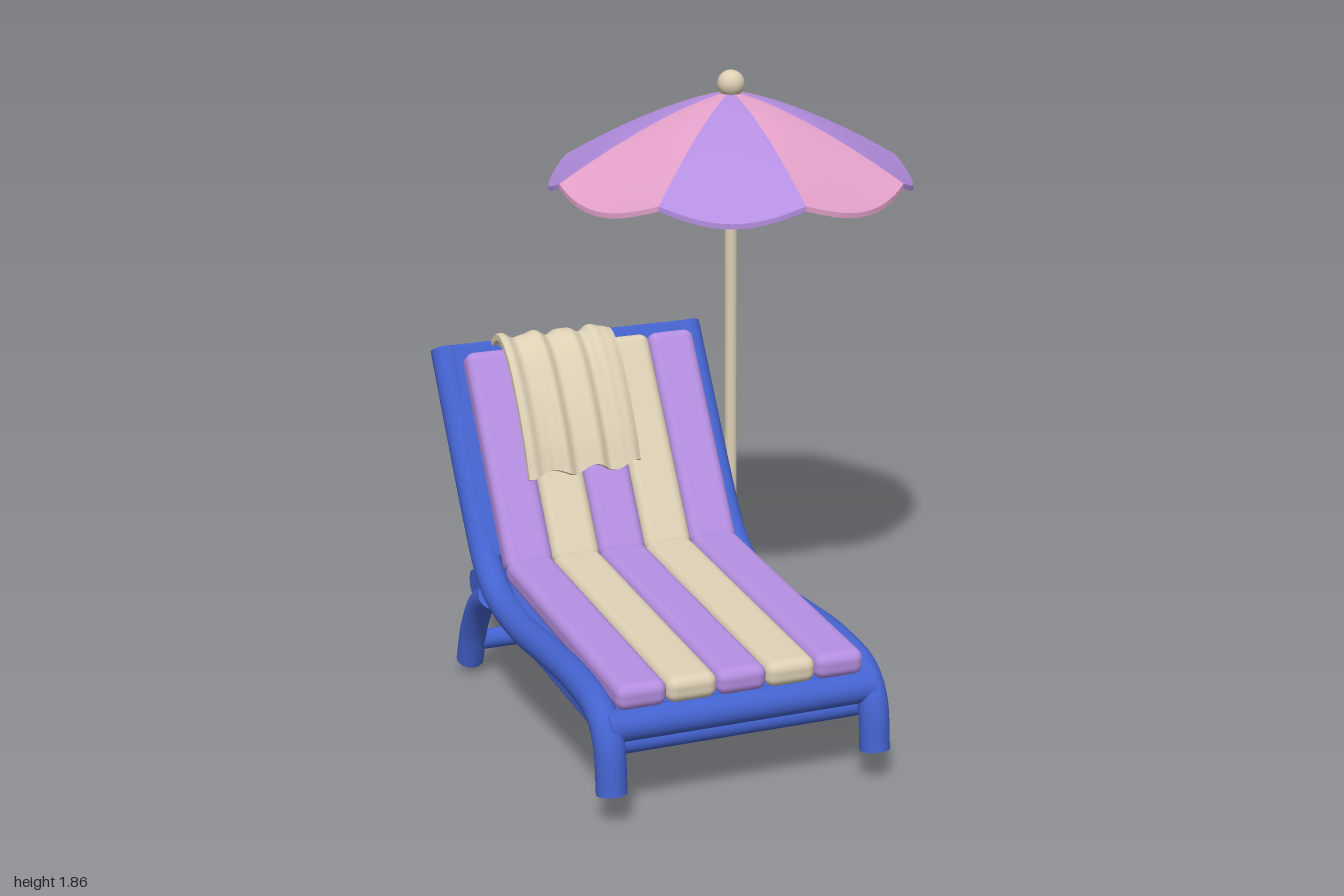
import * as THREE from 'three';
import { mergeGeometries } from 'three/addons/utils/BufferGeometryUtils.js';
import { RoundedBoxGeometry } from 'three/addons/geometries/RoundedBoxGeometry.js';
import { ParametricGeometry } from 'three/addons/geometries/ParametricGeometry.js';

const material = (name, color, side = THREE.FrontSide) => {
  const m = new THREE.MeshStandardMaterial({ color, side });
  m.name = name;
  return m;
};

export function createModel() {
  const blue = material('frame blue', 0x4463cf);
  const violet = material('violet', 0xb48ee0, THREE.DoubleSide);
  const cream = material('cream', 0xdccfb4, THREE.DoubleSide);
  const pink = material('pink', 0xe2a0c8, THREE.DoubleSide);

  const model = new THREE.Group();
  model.name = 'sunLounger';
  const CX = -0.3325; // centre line of the lounger
  const HALF = 0.41; // rail distance from the centre line

  const add = (name, geometry, mat, parent = model) => {
    const mesh = new THREE.Mesh(geometry, mat);
    mesh.name = name;
    parent.add(mesh);
    return mesh;
  };

  // Capped tube through [z, y] points at a given x
  const bentTube = (name, x, points, r) => {
    const curve = new THREE.CatmullRomCurve3(points.map(([z, y]) => new THREE.Vector3(x, y, z)));
    const parts = [new THREE.TubeGeometry(curve, 72, r, 20)];
    for (const t of [0, 1]) {
      const dir = curve.getTangent(t).multiplyScalar(t ? 1 : -1);
      const cap = new THREE.CircleGeometry(r, 20);
      cap.applyQuaternion(new THREE.Quaternion().setFromUnitVectors(new THREE.Vector3(0, 0, 1), dir));
      const p = curve.getPoint(t);
      parts.push(cap.translate(p.x, p.y, p.z));
    }
    add(name, mergeGeometries(parts), blue);
  };

  const crossbar = (name, z, y, r, length) => {
    const bar = add(name, new THREE.CylinderGeometry(r, r, length, 20), blue);
    bar.rotation.z = Math.PI / 2;
    bar.position.set(CX, y, z);
  };

  // Slab whose upper face runs along a line from [z, y] to [z, y]
  const slab = (name, x, width, from, to, thick, radius, mat) => {
    const dz = to[0] - from[0], dy = to[1] - from[1];
    const len = Math.hypot(dz, dy), tilt = Math.atan2(-dy, dz);
    const mesh = add(name, new RoundedBoxGeometry(width, thick, len, 4, radius), mat);
    mesh.rotation.x = tilt;
    mesh.position.set(x,
      (from[1] + to[1]) / 2 - Math.cos(tilt) * thick / 2,
      (from[0] + to[0]) / 2 - Math.sin(tilt) * thick / 2);
  };

  // Closed sheet from f(u, v, w): w = 0 is the upper face, w = 1 the lower one
  const sheet = (f, nu, nv) => {
    const patch = (g, a, b) => new ParametricGeometry((u, v, target) => target.set(...g(u, v)), a, b);
    return mergeGeometries([
      patch((u, v) => f(u, v, 0), nu, nv),
      patch((u, v) => f(1 - u, v, 1), nu, nv),
      patch((u, v) => f(u, 1, v), nu, 1),
      patch((u, v) => f(u, 0, v), nu, 1),
      patch((u, v) => f(0, u, v), nv, 1),
      patch((u, v) => f(1, u, v), nv, 1),
    ]);
  };

  // Side rails and rear legs
  const railPath = [[0.95, 0.095], [0.93, 0.24], [0.87, 0.31], [0.68, 0.343], [0.46, 0.338], [0.2, 0.328],
    [-0.02, 0.36], [-0.125, 0.43], [-0.22, 0.56], [-0.365, 0.79], [-0.505, 1.02]];
  const legPath = [[-0.09, 0.335], [-0.19, 0.275], [-0.275, 0.165], [-0.325, 0.04]];
  for (const side of [-1, 1]) {
    const label = side < 0 ? 'right' : 'left';
    bentTube(label + 'Rail', CX + side * HALF, railPath, 0.045);
    bentTube(label + 'RearLeg', CX + side * HALF, legPath, 0.043);
  }

  // Crossbars
  crossbar('frontCrossbar', 0.91, 0.28, 0.048, 2 * HALF);
  crossbar('frontLowerBar', 0.865, 0.208, 0.034, 2 * HALF);
  crossbar('rearCrossbar', -0.17, 0.35, 0.045, 2 * HALF + 0.06);
  crossbar('rearLegBar', -0.3, 0.11, 0.032, 2 * HALF);

  // Boards under the cushions
  slab('seatBoard', CX, 2 * HALF, [-0.13, 0.385], [0.89, 0.325], 0.1, 0.01, blue);
  slab('backBoard', CX, 2 * HALF, [-0.472, 1.043], [-0.1, 0.455], 0.075, 0.01, blue);

  // Striped cushions
  const stripe = 0.153;
  for (let i = 0; i < 5; i++) {
    const x = CX + (i - 2) * stripe;
    const mat = i % 2 ? cream : violet;
    slab('seatCushion', x, stripe, [-0.04, 0.468], [0.94, 0.402], 0.078, 0.03, mat);
    slab('backCushion', x, stripe, [-0.37, 1.045], [0.005, 0.446], 0.08, 0.03, mat);
  }

  // Towel draped over the backrest, with soft folds
  const drape = new THREE.CatmullRomCurve3([[-0.132, 0.69], [-0.17, 0.785], [-0.25, 0.93], [-0.33, 1.03],
    [-0.4, 1.063], [-0.46, 1.03], [-0.505, 0.935], [-0.545, 0.84]].map(([z, y]) => new THREE.Vector3(0, y, z)));
  const towel = (u, v, w) => {
    const p = drape.getPoint(v), t = drape.getTangent(v);
    const fold = 0.008 * Math.sin(u * 23 + v * 1.5) + 0.003 * Math.sin(u * 41);
    const off = fold + 0.008 - 0.018 * w;
    const hem = 0.012 * Math.sin(u * 17 + 1) * (2 * v - 1);
    return [-0.6 + 0.375 * u, p.y + t.z * -off + t.y * hem, p.z + t.y * off + t.z * hem];
  };
  add('towel', sheet(towel, 56, 36), cream);

  // Parasol
  const parasol = new THREE.Group();
  parasol.name = 'parasol';
  parasol.position.set(0.2, 0, -0.415);
  model.add(parasol);
  add('base', new RoundedBoxGeometry(0.27, 0.077, 0.23, 5, 0.036), violet, parasol).position.y = 0.0385;
  add('pole', new THREE.CylinderGeometry(0.02, 0.02, 1.72, 20), cream, parasol).position.y = 0.92;
  add('finial', new THREE.SphereGeometry(0.044, 24, 16), cream, parasol).position.y = 1.816;

  // Eight canopy panels with a scalloped hem
  for (let i = 0; i < 8; i++) {
    const panel = (u, v, w) => {
      const a = (i + u) * Math.PI / 4, s = 0.02 + 0.98 * v, r = 0.583 * s;
      const droop = 0.045 * Math.sin(Math.PI * u) * s ** 3;
      return [r * Math.cos(a), 1.79 - 0.25 * s ** 1.4 - droop - 0.016 * w, r * Math.sin(a)];
    };
    add('canopyPanel', sheet(panel, 14, 16), i % 2 ? pink : violet, parasol);
  }
  return model;
}
